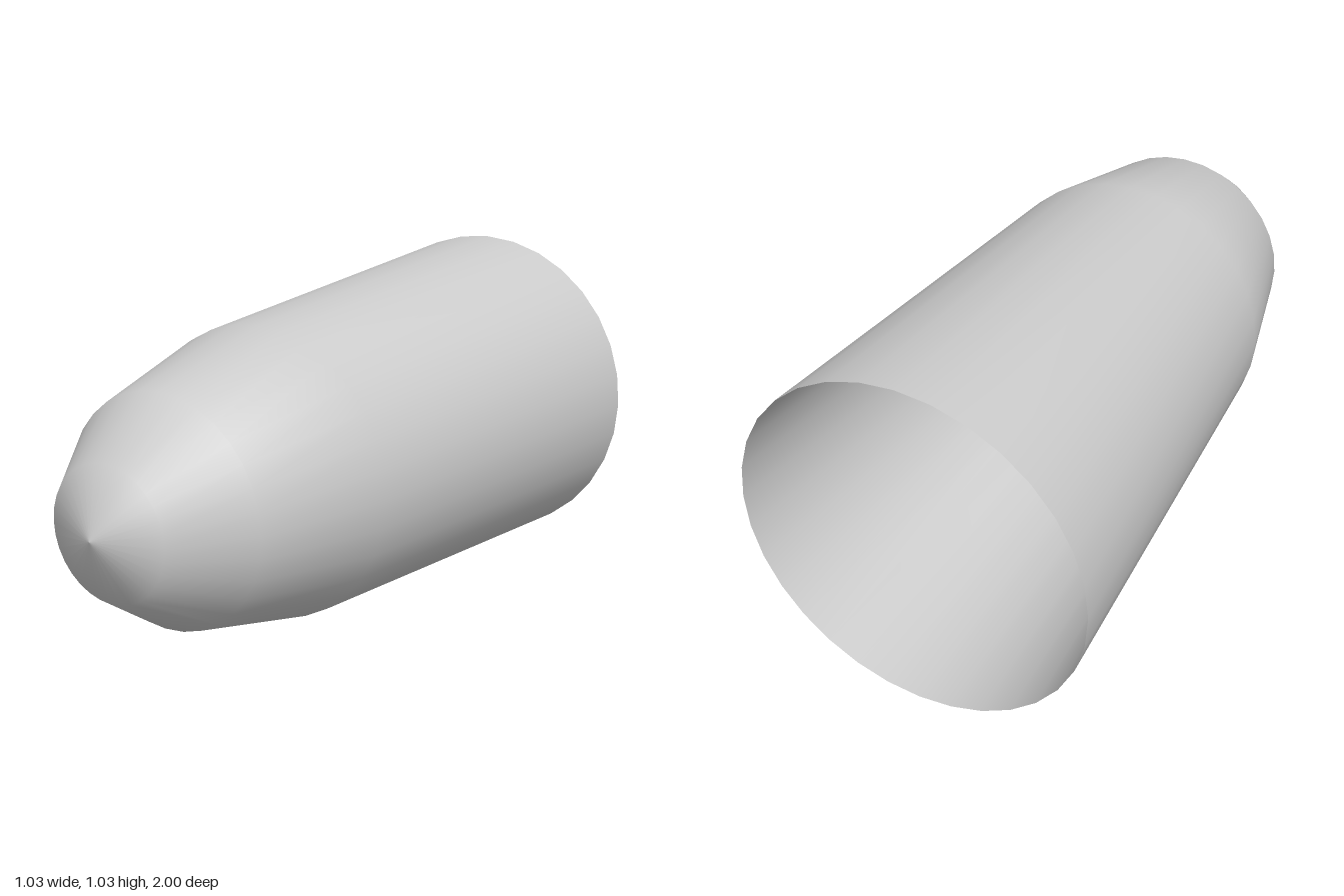
import * as THREE from 'three';

export function createModel() {
  const group = new THREE.Group();

  // Hollow tapered shell, open at the back, with a rounded pointed nose
  const profile = [
    [0.5165, -1], [0.4335, 0.297], [0.333, 0.72], [0.19, 0.932], [0, 1],
  ].map(([r, z]) => new THREE.Vector2(r, z));

  const geometry = new THREE.LatheGeometry(profile, 32);
  geometry.rotateX(Math.PI / 2); // turn the axis so the nose points forward

  const shell = new THREE.Mesh(
    geometry,
    new THREE.MeshStandardMaterial({ color: 0xcccccc, side: THREE.DoubleSide }),
  );
  shell.name = 'noseShell';
  shell.position.y = 0.52;
  group.add(shell);

  return group;
}
